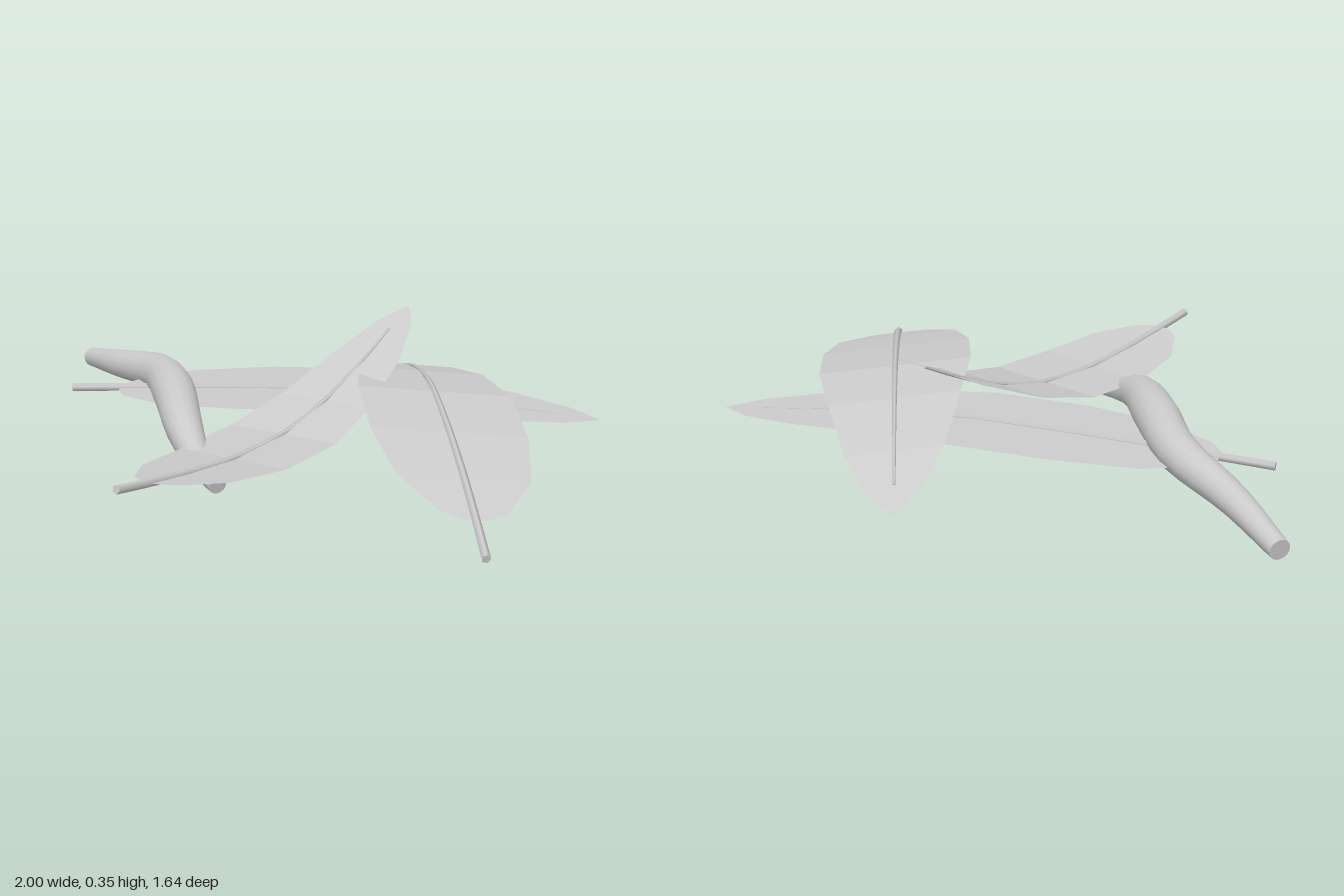
import * as THREE from 'three';

const material = new THREE.MeshStandardMaterial({ color: 0xcccccc });
const bladeMaterial = new THREE.MeshStandardMaterial({ color: 0xcccccc, side: THREE.DoubleSide, flatShading: true });

// Linear interpolation through evenly spaced values.
function sample(values, t) {
  const f = Math.min(Math.max(t, 0), 1) * (values.length - 1);
  const i = Math.min(Math.floor(f), values.length - 2);
  return THREE.MathUtils.lerp(values[i], values[i + 1], f - i);
}

// Round tube whose radius changes along a curve, closed by end discs.
function taperedTube(name, curve, radii, segments, sides) {
  const group = new THREE.Group();
  group.name = name;
  const geometry = new THREE.TubeGeometry(curve, segments, 1, sides, false);
  const position = geometry.attributes.position;
  const v = new THREE.Vector3();
  for (let i = 0; i < position.count; i++) {
    const u = Math.floor(i / (sides + 1)) / segments;
    const centre = curve.getPointAt(u);
    v.fromBufferAttribute(position, i).sub(centre);
    v.multiplyScalar(sample(radii, curve.getUtoTmapping(u))).add(centre);
    position.setXYZ(i, v.x, v.y, v.z);
  }
  const side = new THREE.Mesh(geometry, material);
  side.name = name + 'Side';
  group.add(side);
  for (const u of [0, 1]) {
    const cap = new THREE.Mesh(new THREE.CircleGeometry(radii[u * (radii.length - 1)], sides), material);
    cap.name = name + 'End';
    cap.position.copy(curve.getPointAt(u));
    const outward = curve.getTangentAt(u).multiplyScalar(u ? 1 : -1);
    cap.quaternion.setFromUnitVectors(new THREE.Vector3(0, 0, 1), outward);
    group.add(cap);
  }
  return group;
}

// Half-width of a blade: [position along the leaf, width], as fractions of its length.
const outline = [
  [0.096, 0.018], [0.118, 0.056], [0.21, 0.112], [0.36, 0.136], [0.53, 0.136],
  [0.68, 0.115], [0.84, 0.083], [0.945, 0.044], [1, 0],
];

// A leaf runs from its stalk end to its tip; heights are spaced evenly along it.
function leaf(name, start, tip, heights, tilt) {
  const group = new THREE.Group();
  group.name = name;
  const points = heights.map((y, i) => {
    const t = i / (heights.length - 1);
    return new THREE.Vector3(
      THREE.MathUtils.lerp(start[0], tip[0], t), y, THREE.MathUtils.lerp(start[1], tip[1], t));
  });
  const spine = new THREE.CatmullRomCurve3(points);
  const along = new THREE.Vector3(tip[0] - start[0], 0, tip[1] - start[1]);
  const length = along.length();
  const across = new THREE.Vector3(-along.z, 0, along.x).divideScalar(length);

  // Blade: rows of right edge, middle and left edge
  const vertices = [];
  const faces = [];
  outline.forEach(([t, width], row) => {
    const centre = spine.getPoint(t);
    for (const side of [-1, 0, 1]) {
      const p = centre.clone().addScaledVector(across, side * width * length);
      p.y += side * tilt * width / 0.136;
      vertices.push(p.x, p.y, p.z);
    }
    if (row === 0) return;
    for (const k of [0, 1]) {
      const a = (row - 1) * 3 + k, b = row * 3 + k;
      faces.push(a, a + 1, b);
      if (row < outline.length - 1) faces.push(a + 1, b + 1, b);
      else faces[faces.length - 1] = b;
    }
  });
  const geometry = new THREE.BufferGeometry();
  geometry.setAttribute('position', new THREE.Float32BufferAttribute(vertices, 3));
  // The last row meets in one point
  geometry.setIndex(faces);
  geometry.computeVertexNormals();
  // Make the face order point upwards
  if (geometry.attributes.normal.getY(4) < 0) {
    for (let i = 0; i < faces.length; i += 3) [faces[i], faces[i + 1]] = [faces[i + 1], faces[i]];
    geometry.setIndex(faces);
    geometry.computeVertexNormals();
  }
  const blade = new THREE.Mesh(geometry, bladeMaterial);
  blade.name = 'blade';
  group.add(blade);

  // Midrib and stalk
  const ribPoints = Array.from({ length: 9 }, (_, i) => spine.getPoint(0.925 * i / 8));
  const ribCurve = new THREE.CatmullRomCurve3(ribPoints);
  group.add(taperedTube('midrib', ribCurve, [0.013, 0.011, 0.008, 0.004], 12, 5));
  return group;
}

export function createModel() {
  const model = new THREE.Group();
  model.name = 'leavesAndTwig';

  // Bent twig, thickest in the middle
  const twigPath = new THREE.CatmullRomCurve3([
    [-0.99, 0.033, -0.335], [-0.77, 0.078, -0.225], [-0.52, 0.118, -0.125],
    [-0.32, 0.135, 0.04], [-0.14, 0.108, 0.21], [0, 0.062, 0.315], [0.115, 0.03, 0.37],
  ].map((p) => new THREE.Vector3(...p)));
  model.add(taperedTube('twig', twigPath, [0.03, 0.044, 0.058, 0.065, 0.056, 0.038, 0.026], 18, 16));

  model.add(leaf('middleLeaf', [0.145, 0.82], [0.13, -0.53],
    [0.155, 0.12, 0.103, 0.13, 0.225, 0.355], 0.008));
  model.add(leaf('leftLeaf', [0.99, 0.375], [-0.11, -0.82],
    [0.03, 0.12, 0.18, 0.205, 0.15, 0.05], -0.022));
  model.add(leaf('rightLeaf', [-0.72, 0.05], [0.755, -0.61],
    [0.075, 0.1, 0.122, 0.135, 0.12, 0.095], 0));
  return model;
}
